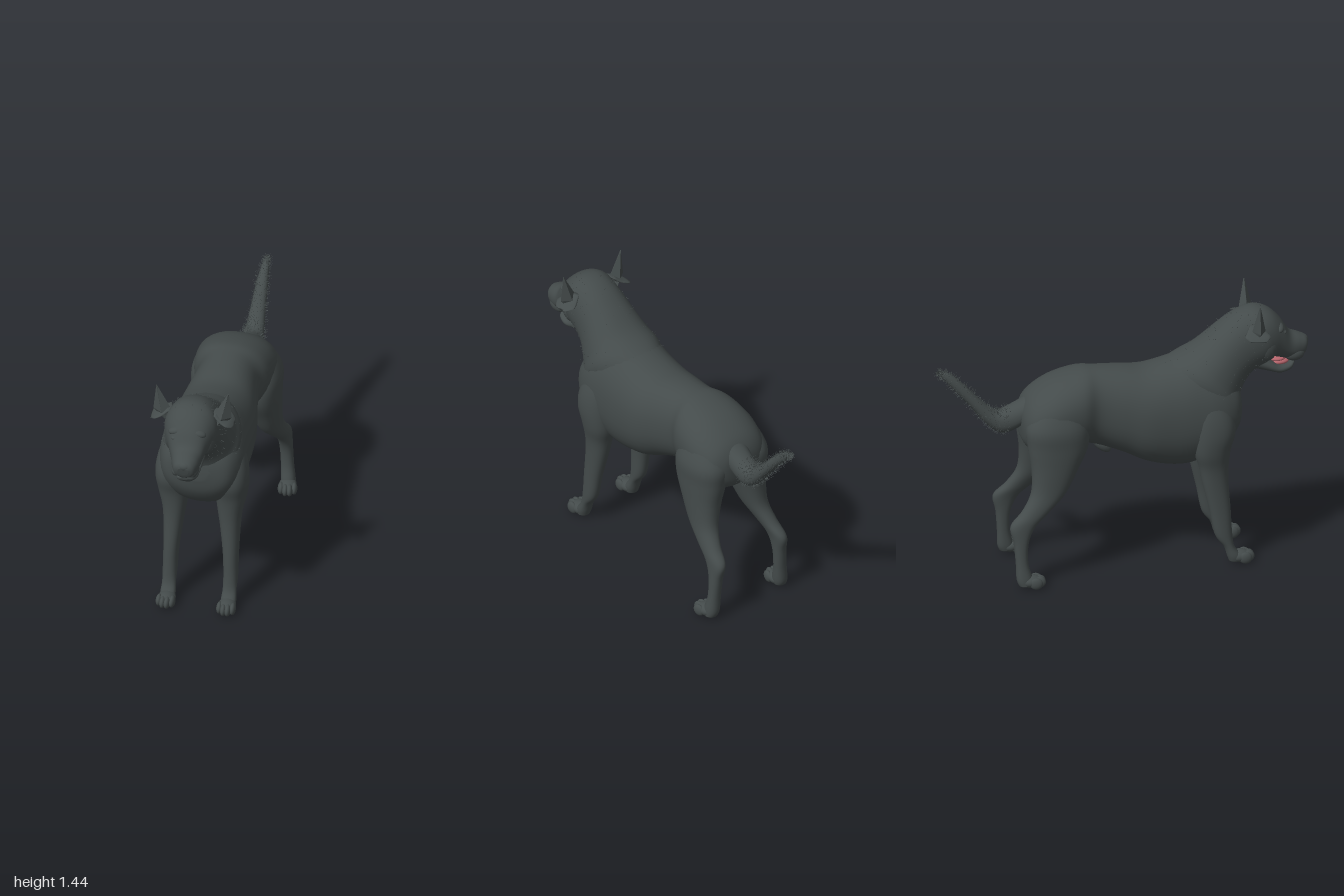
import * as THREE from 'three';

const coat = new THREE.MeshStandardMaterial({ color: 0x444b4b, side: THREE.DoubleSide });
coat.name = 'charcoal coat';
const pink = new THREE.MeshStandardMaterial({ color: 0xb5656c });
pink.name = 'mouth pink';

let seed = 7;
const rand = () => (seed = (seed * 16807) % 2147483647) / 2147483647;

// Smooth interpolation of one column of the section rows
function sample(rows, k, t) {
  const n = rows.length - 1, i = Math.min(Math.floor(t), n - 1), f = t - i;
  const v = (j) => rows[Math.max(0, Math.min(n, j))][k] ?? 0;
  const a = v(i - 1), b = v(i), c = v(i + 1), d = v(i + 2);
  return b + 0.5 * f * (c - a + f * (2 * a - 5 * b + 4 * c - d + f * (3 * (b - c) + d - a)));
}

// Skin over oval sections; each row is [zA, yA, zB, yB, halfWidth, x],
// where A and B are the two opposite outline points of the section.
function loft(rows, { steps = 5, sides = 28, side = 1, power = 0.9 } = {}) {
  const pos = [], idx = [], rings = (rows.length - 1) * steps;
  const soft = (v) => Math.sign(v) * Math.abs(v) ** power;
  for (let r = 0; r <= rings; r++) {
    const [zA, yA, zB, yB, w, x] = [0, 1, 2, 3, 4, 5].map((k) => sample(rows, k, r / steps));
    for (let s = 0; s < sides; s++) {
      const a = (s / sides) * Math.PI * 2, c = soft(Math.cos(a)), d = soft(Math.sin(a));
      pos.push(x * side + c * w, (yA + yB) / 2 + (d * (yA - yB)) / 2, (zA + zB) / 2 + (d * (zA - zB)) / 2);
      if (r < rings) {
        const p = r * sides + s, q = r * sides + ((s + 1) % sides);
        idx.push(p, q, q + sides, p, q + sides, p + sides);
      }
    }
  }
  // Closed ends
  for (let s = 1; s < sides - 1; s++) {
    const e = rings * sides;
    idx.push(0, s + 1, s, e, e + s, e + s + 1);
  }
  const g = new THREE.BufferGeometry();
  g.setAttribute('position', new THREE.Float32BufferAttribute(pos, 3));
  g.setIndex(idx);
  g.computeVertexNormals();
  return g;
}

// Short hairs growing out of a skin, leaning along a given direction
function hairs(geo, count, length, lean, test) {
  const P = geo.attributes.position, N = geo.attributes.normal, out = [];
  const p = new THREE.Vector3(), n = new THREE.Vector3(), s = new THREE.Vector3();
  for (let i = 0; i < count; i++) {
    const k = Math.floor(rand() * P.count);
    p.fromBufferAttribute(P, k);
    n.fromBufferAttribute(N, k);
    if (!test(p)) continue;
    p.add(s.set(rand() - 0.5, rand() - 0.5, rand() - 0.5).multiplyScalar(0.02)).addScaledVector(n, -0.008);
    s.set(rand() - 0.5, rand() - 0.5, rand() - 0.5).cross(n).normalize().multiplyScalar(0.0013);
    const tip = p.clone().addScaledVector(n, length * (0.5 + rand() * 0.7) + 0.008).addScaledVector(lean, length * rand());
    out.push(p.x - s.x, p.y - s.y, p.z - s.z, p.x + s.x, p.y + s.y, p.z + s.z, tip.x, tip.y, tip.z);
  }
  const g = new THREE.BufferGeometry();
  g.setAttribute('position', new THREE.Float32BufferAttribute(out, 3));
  g.computeVertexNormals();
  return g;
}

export function createModel() {
  const dog = new THREE.Group();
  dog.name = 'dog';
  const add = (name, geo, mat = coat, parent = dog) => {
    const m = new THREE.Mesh(geo, mat);
    m.name = name;
    parent.add(m);
    return m;
  };
  const blob = (name, at, size, mat = coat, parent = dog) => {
    const m = add(name, new THREE.SphereGeometry(1, 20, 14), mat, parent);
    m.position.set(...at);
    m.scale.set(...size);
    return m;
  };

  // Torso from rump to breast
  add('torso', loft([
    [-0.535, 0.86, -0.53, 0.80, 0.04], [-0.52, 0.93, -0.52, 0.74, 0.125],
    [-0.47, 1.0, -0.48, 0.70, 0.185], [-0.36, 1.07, -0.38, 0.69, 0.212],
    [-0.22, 1.11, -0.24, 0.71, 0.20], [-0.13, 1.11, -0.14, 0.69, 0.167],
    [0, 1.10, 0, 0.635, 0.187], [0.12, 1.09, 0.12, 0.575, 0.21],
    [0.25, 1.115, 0.25, 0.54, 0.215], [0.37, 1.15, 0.36, 0.54, 0.22],
    [0.46, 1.13, 0.47, 0.585, 0.222], [0.54, 1.07, 0.55, 0.64, 0.205],
    [0.60, 1.0, 0.61, 0.73, 0.16], [0.625, 0.93, 0.63, 0.82, 0.07],
  ], { sides: 36 }));
  blob('bellyFold', [0.005, 0.665, -0.095], [0.028, 0.03, 0.062]).rotation.x = 0.75;

  // Neck, skull and muzzle in one skin
  const head = loft([
    [0.15, 1.07, 0.50, 0.66, 0.14], [0.30, 1.135, 0.615, 0.80, 0.202],
    [0.40, 1.185, 0.625, 0.90, 0.182], [0.50, 1.265, 0.66, 0.98, 0.155],
    [0.58, 1.325, 0.71, 1.03, 0.143], [0.65, 1.36, 0.77, 1.06, 0.139],
    [0.72, 1.37, 0.79, 1.085, 0.137], [0.79, 1.345, 0.81, 1.085, 0.12],
    [0.85, 1.285, 0.84, 1.075, 0.098, 0.003], [0.895, 1.215, 0.885, 1.06, 0.08, 0.008],
    [0.945, 1.19, 0.93, 1.06, 0.069, 0.012], [0.985, 1.17, 0.97, 1.072, 0.053, 0.014],
    [0.997, 1.145, 0.985, 1.10, 0.028, 0.015],
  ], { sides: 36 });
  add('neckAndHead', head);
  add('neckFur', hairs(head, 2000, 0.008, new THREE.Vector3(0, -0.3, -0.7), (p) => p.z < 0.76 && p.y > 0.95));

  // Open lower jaw, tongue and nose
  add('lowerJaw', loft([
    [0.68, 1.14, 0.70, 1.03, 0.08], [0.78, 1.075, 0.785, 1.005, 0.072],
    [0.83, 1.043, 0.825, 0.993, 0.066], [0.87, 1.037, 0.86, 0.99, 0.058, 0.003],
    [0.905, 1.04, 0.90, 1.0, 0.042, 0.005], [0.922, 1.04, 0.918, 1.02, 0.018, 0.006],
  ]));
  blob('tongue', [0.007, 1.046, 0.838], [0.045, 0.019, 0.058], pink);
  blob('mouthRoof', [0.007, 1.066, 0.83], [0.05, 0.016, 0.05], pink);
  blob('nose', [0.016, 1.148, 0.974], [0.036, 0.026, 0.024]);

  for (const side of [1, -1]) {
    const tag = side > 0 ? 'left' : 'right';
    // Face
    blob(tag + 'Brow', [side * 0.06, 1.262, 0.826], [0.042, 0.022, 0.028]).rotation.z = -side * 0.3;
    blob(tag + 'Eye', [side * 0.062, 1.232, 0.855], [0.017, 0.011, 0.012]);
    blob(tag + 'Lip', [side * 0.042 + 0.01, 1.094, 0.915], [0.03, 0.04, 0.055]);
    blob(tag + 'Cheek', [side * 0.085, 1.18, 0.755], [0.048, 0.09, 0.065]);

    // Upright pointed ear above a short folded flap
    add(tag + 'Ear', loft([
      [0.703, 1.44, 0.697, 1.44, 0.002, 0.19], [0.735, 1.295, 0.665, 1.295, 0.049, 0.158],
      [0.73, 1.255, 0.66, 1.26, 0.04, 0.14],
    ], { steps: 1, sides: 4, side, power: 1 }).toNonIndexed()).geometry.computeVertexNormals();
    add(tag + 'EarFlap', loft([
      [0.73, 1.31, 0.66, 1.315, 0.01, 0.12], [0.745, 1.285, 0.64, 1.292, 0.02, 0.15],
      [0.757, 1.268, 0.622, 1.278, 0.017, 0.183], [0.735, 1.252, 0.645, 1.26, 0.006, 0.212],
    ], { steps: 3, sides: 14, side }));

    // Front leg
    add(tag + 'FrontLeg', loft([
      [0.50, 0.98, 0.38, 0.98, 0.05, 0.14], [0.56, 0.85, 0.36, 0.86, 0.083, 0.15],
      [0.575, 0.75, 0.355, 0.75, 0.09, 0.155], [0.55, 0.65, 0.36, 0.64, 0.081, 0.152],
      [0.54, 0.55, 0.385, 0.55, 0.064, 0.147], [0.54, 0.45, 0.405, 0.45, 0.052, 0.15],
      [0.55, 0.30, 0.44, 0.30, 0.041, 0.157], [0.556, 0.18, 0.468, 0.165, 0.038, 0.16],
      [0.567, 0.10, 0.512, 0.10, 0.036, 0.16], [0.60, 0.05, 0.53, 0.045, 0.04, 0.16],
      [0.61, 0.02, 0.54, 0.015, 0.035, 0.16],
    ], { side }));

    // Hind leg
    add(tag + 'HindLeg', loft([
      [-0.26, 1.0, -0.44, 0.98, 0.06, 0.115], [-0.20, 0.86, -0.52, 0.86, 0.108, 0.125],
      [-0.20, 0.74, -0.517, 0.75, 0.10, 0.133], [-0.255, 0.62, -0.50, 0.62, 0.08, 0.148],
      [-0.32, 0.50, -0.507, 0.50, 0.06, 0.165], [-0.41, 0.41, -0.56, 0.41, 0.045, 0.187],
      [-0.49, 0.335, -0.625, 0.34, 0.037, 0.203], [-0.53, 0.25, -0.61, 0.25, 0.034, 0.211],
      [-0.535, 0.14, -0.60, 0.14, 0.034, 0.218], [-0.515, 0.06, -0.597, 0.05, 0.038, 0.225],
      [-0.51, 0.02, -0.585, 0.015, 0.035, 0.229],
    ], { side }));

    // Paws with four toes
    for (const [name, x, z, yaw] of [['FrontPaw', 0.159, 0.597, 0.03], ['HindPaw', 0.23, -0.523, 0.15]]) {
      const paw = new THREE.Group();
      paw.name = tag + name;
      paw.position.set(side * x, 0, z);
      paw.rotation.y = side * yaw;
      dog.add(paw);
      blob('pad', [0, 0.036, 0], [0.046, 0.034, 0.06], coat, paw);
      for (let i = 0; i < 4; i++) {
        const o = i - 1.5, reach = Math.abs(o) > 1 ? 0.026 : 0.043;
        blob('toe', [o * 0.023, 0.033, reach], [0.0165, 0.032, 0.034], coat, paw);
      }
    }
  }

  // Tail dips, then sweeps up to a point
  const tail = loft([
    [-0.42, 0.88, -0.42, 1.02, 0.08, 0.01], [-0.52, 0.82, -0.50, 0.965, 0.072, 0.015],
    [-0.59, 0.785, -0.59, 0.92, 0.062, 0.02], [-0.645, 0.79, -0.64, 0.905, 0.055, 0.02],
    [-0.71, 0.845, -0.68, 0.925, 0.048, 0.02], [-0.785, 0.94, -0.745, 0.987, 0.039, 0.02],
    [-0.865, 1.035, -0.83, 1.078, 0.03, 0.022], [-0.925, 1.105, -0.90, 1.138, 0.019, 0.025],
    [-0.955, 1.138, -0.948, 1.146, 0.006, 0.025],
  ]);
  add('tail', tail);
  add('tailFur', hairs(tail, 2200, 0.017, new THREE.Vector3(0, 0.5, -0.6), (p) => p.z < -0.58));

  return dog;
}
